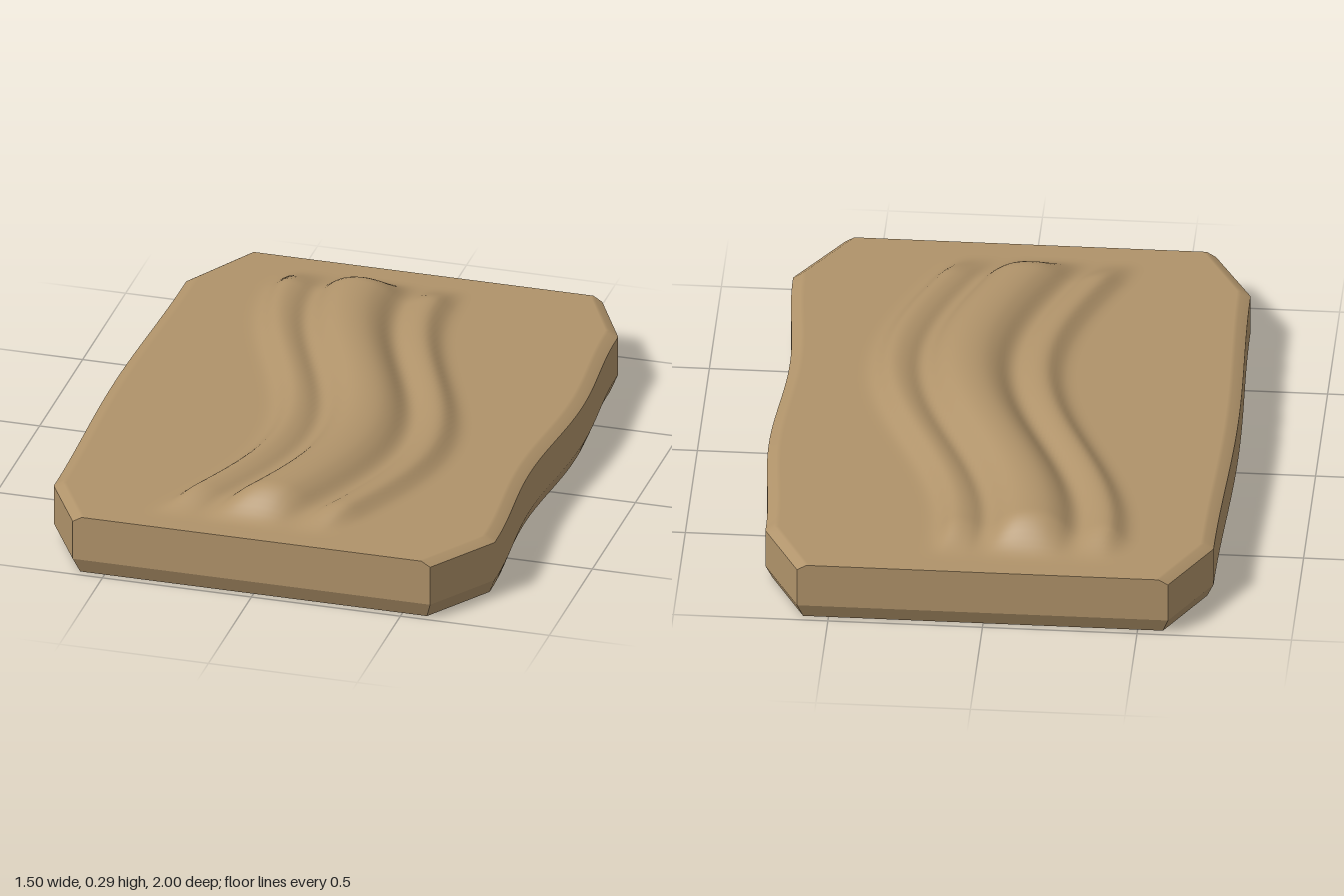
import * as THREE from 'three';
import { toCreasedNormals } from 'three/addons/utils/BufferGeometryUtils.js';

const ROWS = 100, COLS = 110, CORNER = 0.77;
const { smoothstep, lerp } = THREE.MathUtils;

// Gently waving long edges, cut off at the four corners
const leftEdge = z => -0.74 - 0.01 * Math.cos(Math.PI * z / CORNER);
const rightEdge = z => 0.735 + 0.015 * Math.cos(2 * Math.PI * (z + 0.25));
function edge(fn, z) {
  const zc = Math.max(-CORNER, Math.min(CORNER, z));
  const t = (Math.abs(z) - CORNER) / (1 - CORNER);
  return t <= 0 ? fn(z) : lerp(fn(zc), 0.6 * Math.sign(fn(zc)), t);
}

// Cross-section of the relief: a tall middle ridge with a lower one on each side
const profile = [[0, 0.085], [0.05, 0.078], [0.09, 0.058], [0.13, 0.026], [0.16, 0.02],
  [0.195, 0.036], [0.23, 0.045], [0.26, 0.041], [0.285, 0.022], [0.31, 0.006], [0.35, 0]];
function reliefHeight(x, z) {
  const d = Math.abs(x - 0.14 * Math.cos(Math.PI * (z - 0.25)));
  const fade = 1 - smoothstep(Math.abs(z), 0.74, 0.92);
  const i = profile.findIndex(p => p[0] > d);
  if (i < 0) return 0;
  const [a, b] = [profile[i - 1], profile[i]];
  const slope = k => k <= 0 || k >= profile.length - 1 ? 0
    : (profile[k + 1][1] - profile[k - 1][1]) / (profile[k + 1][0] - profile[k - 1][0]);
  // cubic blend between neighbouring profile points
  const w = b[0] - a[0], t = (d - a[0]) / w, t2 = t * t, t3 = t2 * t;
  return fade * ((2 * t3 - 3 * t2 + 1) * a[1] + (t3 - 2 * t2 + t) * w * slope(i - 1)
    + (3 * t2 - 2 * t3) * b[1] + (t3 - t2) * w * slope(i));
}

// Point of the top surface; the outermost columns form the lower, bevelled rim
function topPoint(r, c) {
  const h = ROWS / 2 - 10, k = r - ROWS / 2;
  const z = Math.abs(k) <= h ? k / h * CORNER
    : Math.sign(k) * lerp(CORNER, 1, (Math.abs(k) - h) / 10);
  const l = edge(leftEdge, z), rt = edge(rightEdge, z);
  if (c === 0) return new THREE.Vector3(l, 0.19, z);
  if (c === COLS) return new THREE.Vector3(rt, 0.19, z);
  const x = lerp(l + 0.03, rt - 0.03, (c - 1) / (COLS - 2));
  return new THREE.Vector3(x, 0.208 + reliefHeight(x, z), z);
}

function build(points, index) {
  const geometry = new THREE.BufferGeometry().setFromPoints(points);
  geometry.setIndex(index);
  geometry.computeVertexNormals();
  return geometry;
}

export function createModel() {
  const group = new THREE.Group();
  group.name = 'carvedSlab';
  const material = new THREE.MeshStandardMaterial({ color: 0xb0936a });
  const add = (name, geometry) => {
    const mesh = new THREE.Mesh(geometry, material);
    mesh.name = name;
    group.add(mesh);
  };

  // Top surface with the winding ridges
  const top = [], topIndex = [];
  for (let r = 0; r <= ROWS; r++) {
    for (let c = 0; c <= COLS; c++) {
      top.push(topPoint(r, c));
      if (r === ROWS || c === COLS) continue;
      const a = r * (COLS + 1) + c, b = a + COLS + 1;
      topIndex.push(a, b, a + 1, b, b + 1, a + 1);
    }
  }
  add('ridgedTop', build(top, topIndex));

  // Perimeter, anticlockwise seen from above
  const rim = [];
  for (let c = 0; c < COLS; c++) rim.push(topPoint(ROWS, c));
  for (let r = ROWS; r > 0; r--) rim.push(topPoint(r, COLS));
  for (let c = COLS; c > 0; c--) rim.push(topPoint(0, c));
  for (let r = 0; r < ROWS; r++) rim.push(topPoint(r, 0));
  const n = rim.length;
  const low = rim.map(p => new THREE.Vector3(p.x, 0.055, p.z));
  const foot = rim.map(p => new THREE.Vector3(p.x * 0.97, 0, p.z * 0.975));

  // Side wall with the undercut bevel at its foot
  const wallIndex = [];
  for (let k = 0; k < 2; k++) {
    for (let i = 0; i < n; i++) {
      const j = (i + 1) % n, u = k * n, d = u + n;
      wallIndex.push(d + i, d + j, u + i, d + j, u + j, u + i);
    }
  }
  add('sideWall', toCreasedNormals(build([...rim, ...low, ...foot], wallIndex), 0.35));

  // Flat underside
  const footIndex = [];
  for (let i = 0; i < n; i++) footIndex.push(n, (i + 1) % n, i);
  add('underside', build([...foot, new THREE.Vector3()], footIndex));

  return group;
}
